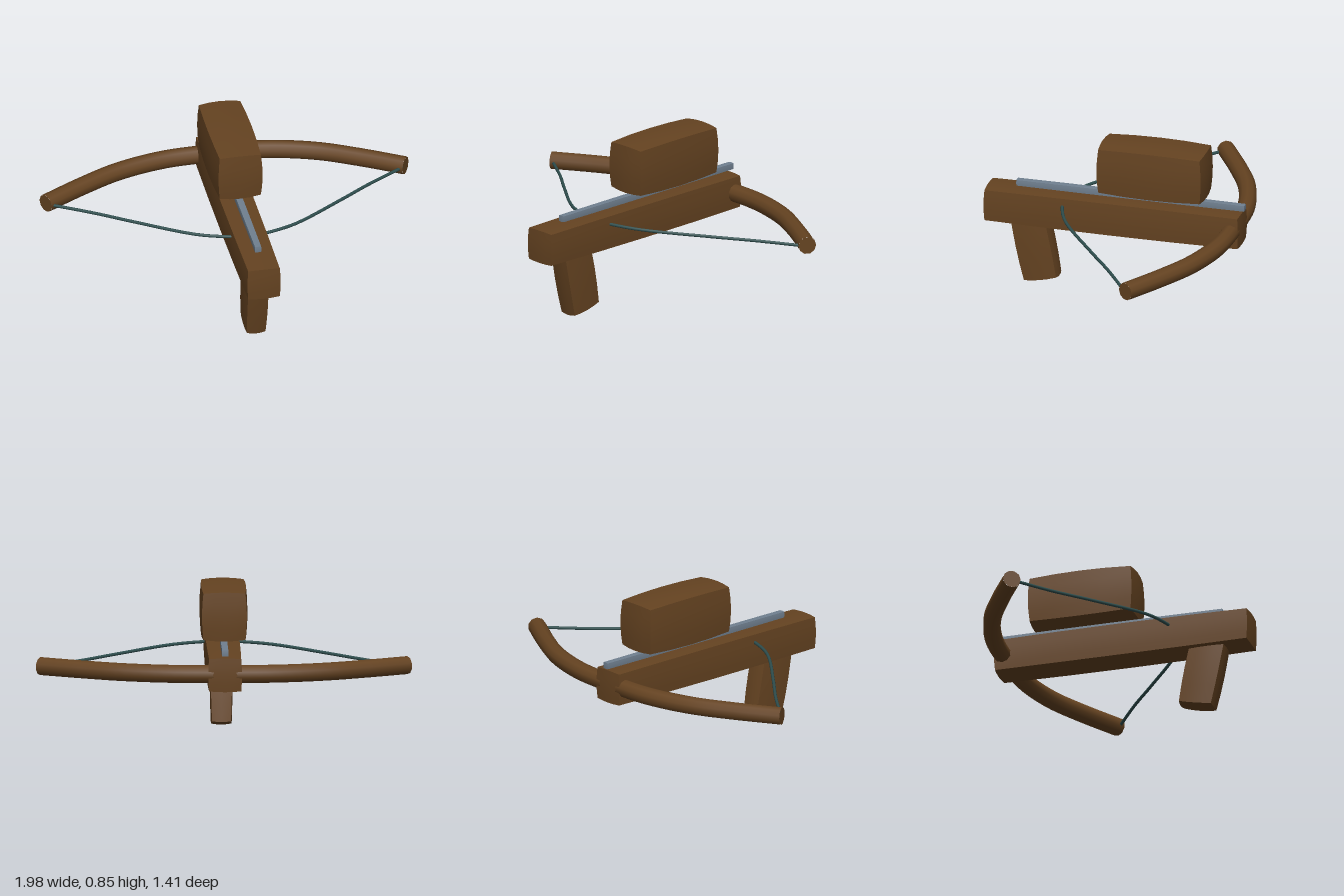
import * as THREE from 'three';

const wood = new THREE.MeshStandardMaterial({ color: 0x654321 });
wood.name = 'brown wood';
const metal = new THREE.MeshStandardMaterial({ color: 0x708090 });
metal.name = 'grey metal';
const cord = new THREE.MeshStandardMaterial({ color: 0x2f4f4f, side: THREE.DoubleSide });
cord.name = 'dark cord';

function add(group, name, geometry, material) {
  const mesh = new THREE.Mesh(geometry, material);
  mesh.name = name;
  group.add(mesh);
  return mesh;
}

// Box whose faces swell gently: corners stay put, face centres move out by the bulge
function bulgedBox(w, h, d, bulge) {
  const half = [w / 2, h / 2, d / 2];
  const geometry = new THREE.BoxGeometry(w, h, d, 4, 4, 4);
  const pos = geometry.attributes.position;
  for (let i = 0; i < pos.count; i++) {
    const u = half.map((s, k) => pos.getComponent(i, k) / s);
    for (let k = 0; k < 3; k++) {
      const a = u[(k + 1) % 3], b = u[(k + 2) % 3];
      const push = bulge * u[k] * (1 - (a * a + b * b) / 2);
      pos.setComponent(i, k, u[k] * half[k] + push);
    }
  }
  geometry.computeVertexNormals();
  return geometry;
}

// Smooth curve mirrored across x = 0; points run from the centre outwards
function mirroredCurve(points) {
  const right = points.map(p => new THREE.Vector3(...p));
  const left = right.slice(1).reverse().map(p => new THREE.Vector3(-p.x, p.y, p.z));
  return new THREE.CatmullRomCurve3([...left, ...right]);
}

export function createModel() {
  const model = new THREE.Group();
  model.name = 'crossbow';

  // Wooden body, magazine and grip
  add(model, 'stock', bulgedBox(0.17, 0.172, 1.386, 0.008), wood).position.set(0, 0.424, 0.006);
  add(model, 'magazine', bulgedBox(0.222, 0.246, 0.556, 0.015), wood).position.set(0, 0.707, -0.21);
  const grip = add(model, 'grip', bulgedBox(0.1, 0.4, 0.18, 0.01), wood);
  grip.position.set(0, 0.216, 0.444);
  grip.rotation.x = 0.2;

  // Rail above the stock
  add(model, 'rail', bulgedBox(0.033, 0.032, 1.248, 0.002), metal).position.set(0, 0.543, -0.081);

  // Bow limbs with capped tips
  const y = 0.425, radius = 0.048;
  const bowCurve = mirroredCurve([
    [0, y, -0.647], [0.27, y, -0.635], [0.53, y, -0.565], [0.74, y, -0.46], [0.968, y, -0.325]
  ]);
  add(model, 'bow', new THREE.TubeGeometry(bowCurve, 40, radius, 10), wood);
  for (const t of [0, 1]) {
    const tip = add(model, t ? 'leftBowTip' : 'rightBowTip', new THREE.CircleGeometry(radius, 10), wood);
    tip.position.copy(bowCurve.getPointAt(t));
    const out = bowCurve.getTangentAt(t).multiplyScalar(t ? 1 : -1);
    tip.quaternion.setFromUnitVectors(new THREE.Vector3(0, 0, 1), out);
  }

  // Drawn string, rising slightly towards the grip
  const stringPoints = [[0, 0.285], [0.1, 0.268], [0.26, 0.205], [0.56, -0.02], [0.74, -0.165], [0.95, -0.315]];
  const stringCurve = mirroredCurve(stringPoints.map(([x, z]) => [x, 0.447 + 0.083 * z, z]));
  add(model, 'string', new THREE.TubeGeometry(stringCurve, 48, 0.0085, 8), cord);

  return model;
}
